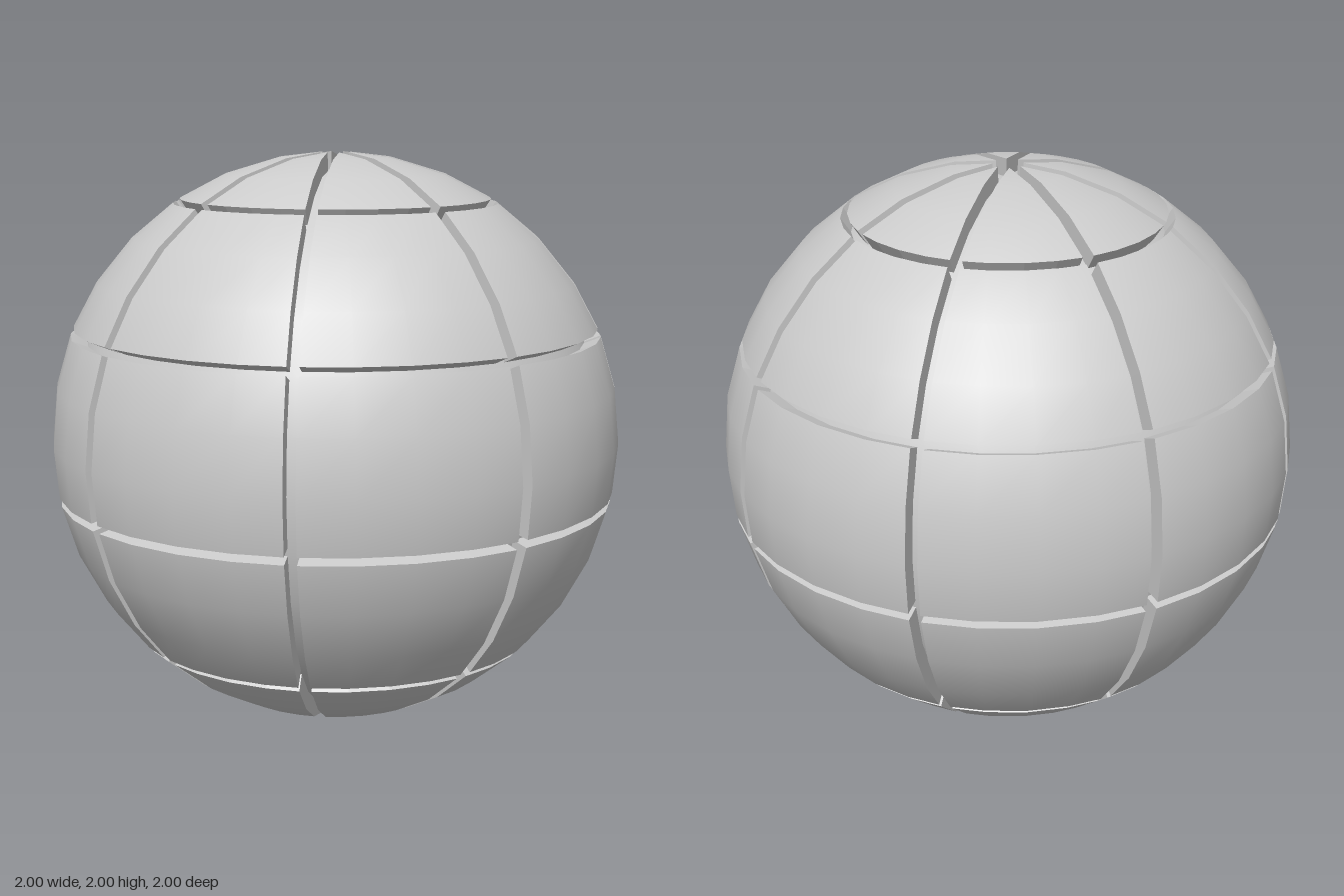
import * as THREE from 'three';
import { mergeGeometries } from 'three/addons/utils/BufferGeometryUtils.js';

const RAD = Math.PI / 180;
const STEP = 11.25;         // facet size in degrees
const CORE = 0.94;          // radius of the inner ball
const HALF_GAP = 0.02;      // half width of the upright grooves
const TWIST = -0.3;         // slight turn of the upright grooves, degrees
const POLE = 87;            // latitude where the cap panels come to a point

// Unit direction for azimuth a (0 = front, 90 = left) and latitude lat
function direction(a, lat) {
  const c = Math.cos(lat * RAD);
  return new THREE.Vector3(Math.sin(a * RAD) * c, Math.sin(lat * RAD), Math.cos(a * RAD) * c);
}

// Azimuth at column i, held back from the grooves on both sides
function azimuth(sector, i, lat) {
  const inset = Math.asin(Math.min(1, HALF_GAP / Math.cos(lat * RAD))) / RAD;
  const a = Math.min(inset, 22.5);
  const start = sector * 45 + TWIST;
  return THREE.MathUtils.clamp(sector * 45 + i * STEP, start + a, start + 45 - a);
}

// Curved outer skin plus radial side walls
function panelGeometry(sector, south, north) {
  const lats = [south];
  for (let l = -90; l <= 90; l += STEP) if (l > south + 0.3 && l < north - 0.3) lats.push(l);
  lats.push(north);
  const cols = 4, rows = lats.length - 1;
  const at = (i, j) => direction(azimuth(sector, i, lats[j]), lats[j]);

  const pos = [], index = [];
  for (let j = 0; j <= rows; j++) {
    for (let i = 0; i <= cols; i++) {
      pos.push(...at(i, j).toArray());
      if (i < cols && j < rows) {
        const p = j * (cols + 1) + i, q = p + cols + 1;
        index.push(p, p + 1, q + 1, p, q + 1, q);
      }
    }
  }
  const skin = new THREE.BufferGeometry();
  skin.setAttribute('position', new THREE.Float32BufferAttribute(pos, 3));
  skin.setAttribute('normal', new THREE.Float32BufferAttribute(pos, 3));
  skin.setIndex(index);

  // Walk round the rim and drop a wall below each edge
  const rim = [];
  for (let i = 0; i < cols; i++) rim.push(at(i, 0));
  for (let j = 0; j < rows; j++) rim.push(at(cols, j));
  for (let i = cols; i > 0; i--) rim.push(at(i, rows));
  for (let j = rows; j > 0; j--) rim.push(at(0, j));
  const wall = [];
  rim.forEach((p, k) => {
    const q = rim[(k + 1) % rim.length];
    if (p.distanceTo(q) < 1e-5) return;
    const pin = p.clone().multiplyScalar(CORE - 0.01);
    const qin = q.clone().multiplyScalar(CORE - 0.01);
    for (const v of [pin, qin, q, pin, q, p]) wall.push(v.x, v.y, v.z);
  });
  const walls = new THREE.BufferGeometry();
  walls.setAttribute('position', new THREE.Float32BufferAttribute(wall, 3));
  walls.computeVertexNormals();

  return mergeGeometries([skin.toNonIndexed(), walls]);
}

export function createModel() {
  const group = new THREE.Group();
  const material = new THREE.MeshStandardMaterial({ color: 0xcccccc });

  // Inner ball seen at the bottom of the grooves
  const core = new THREE.Mesh(new THREE.SphereGeometry(CORE, 32, 16), material);
  core.name = 'core';
  core.position.y = 1;
  group.add(core);

  // Five bands of eight panels, split at these latitudes
  const cuts = [-45, -11.25, 22.5, 56.25];
  const names = ['bottomCap', 'lowerBand', 'middleBand', 'upperBand', 'topCap'];
  names.forEach((name, b) => {
    const band = new THREE.Group();
    band.name = name;
    band.position.y = 1;
    const south = b === 0 ? -POLE : cuts[b - 1] + 1.05;
    const north = b === 4 ? POLE : cuts[b] - 0.55;
    for (let s = 0; s < 8; s++) {
      const panel = new THREE.Mesh(panelGeometry(s, south, north), material);
      panel.name = `${name}Panel${s + 1}`;
      band.add(panel);
    }
    group.add(band);
  });
  return group;
}
